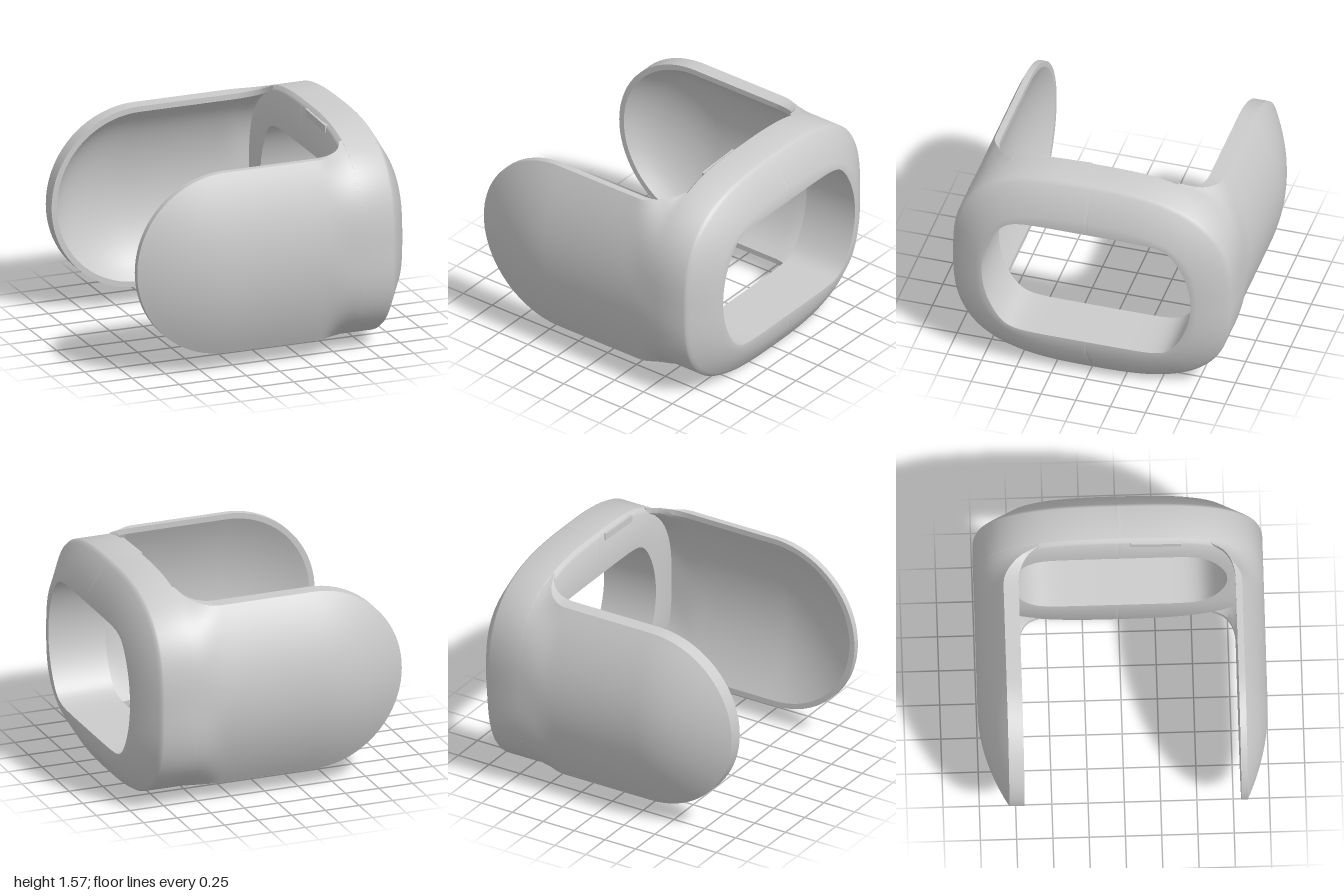
import * as THREE from 'three';
import { toCreasedNormals } from 'three/addons/utils/BufferGeometryUtils.js';

const CY = 0.785;   // mid height
const EXP = 2.9;    // squareness of the frame outline

const lerp = THREE.MathUtils.lerp;

// Surface from a grid of points: point(i, j) for i = 0..nu, j = 0..nv
function gridMesh(name, nu, nv, point, flip) {
  const pos = [], index = [];
  for (let i = 0; i <= nu; i++)
    for (let j = 0; j <= nv; j++) pos.push(...point(i, j));
  for (let i = 0; i < nu; i++)
    for (let j = 0; j < nv; j++) {
      const a = i * (nv + 1) + j, b = a + nv + 1, c = b + 1, d = a + 1;
      if (flip) index.push(a, c, b, a, d, c);
      else index.push(a, b, c, a, c, d);
    }
  const g = new THREE.BufferGeometry();
  g.setAttribute('position', new THREE.Float32BufferAttribute(pos, 3));
  g.setIndex(index);
  const mat = new THREE.MeshStandardMaterial({ color: 0xcccccc, side: THREE.DoubleSide });
  const mesh = new THREE.Mesh(toCreasedNormals(g, 0.7), mat);
  mesh.name = name;
  return mesh;
}

// Radius of a superellipse in direction t
function superRadius(t, a, b, n) {
  return (Math.abs(Math.cos(t) / a) ** n + Math.abs(Math.sin(t) / b) ** n) ** (-1 / n);
}

// Window: bulging sides cut off flat at top and bottom
function holeRadius(t) {
  const side = superRadius(t, 0.75, 0.69, 2);
  const flat = Math.abs(Math.sin(t)) / 0.4645;
  return (side ** -16 + flat ** 16) ** (-1 / 16);
}

const outer = t => superRadius(t, 1, CY, EXP);
const inset = t => superRadius(t, 0.79, 0.565, EXP);

// Frame rings, from the back edge of the window round to the front and back in
const chamfer = (x, k) => [x, t => lerp(outer(t), inset(t), k)];
const RINGS = [
  [0.58, holeRadius],
  [0.58, t => outer(t) * 0.957],
  [0.59, t => outer(t) * 0.975],
  [0.61, outer],
  chamfer(0.845, 0), chamfer(0.86, 0.04), chamfer(0.875, 0.13), chamfer(1, 1),
  [1, holeRadius],
  [0.58, holeRadius],
];

function frameHalf(name, start) {
  const n = 80;
  return gridMesh(name, n, RINGS.length - 1, (i, j) => {
    const t = start + Math.PI * i / n;
    const [x, radius] = RINGS[j];
    const r = radius(t);
    return [x, CY + r * Math.sin(t), r * Math.cos(t)];
  }, true);
}

// Domed shell with a round tip, its root flaring into the frame
function arm(name, side, { drop, rim, rootRim, flare }) {
  const R = 0.655, XT = -0.345, XR = 0.615, T = 0.045, LIP = 0.04;
  const nx = 24, na = 40, nk = 14;
  return gridMesh(name, 2 * nx + na, 2 * nk + 1, (i, j) => {
    // Place along the outline: top edge, tip, bottom edge
    let x = XT, angle = Math.PI / 2;
    if (i < nx) x = lerp(XR, XT, (i / nx) ** 1.5);
    else if (i <= nx + na) angle += Math.PI * (i - nx) / na;
    else {
      angle = 1.5 * Math.PI;
      x = lerp(XR, XT, ((2 * nx + na - i) / nx) ** 1.5);
    }
    // Fillet towards the frame
    const s = THREE.MathUtils.clamp((x - 0.35) / 0.23, 0, 1);
    const f = 1 - Math.sqrt(1 - s * s);
    const h = R + flare * f;
    const rimZ = lerp(rim, rootRim, f);
    const blend = s * s * (3 - 2 * s);
    const skin = k => lerp(1 - drop * k * k,
      (1 - (h * k / CY) ** EXP) ** (1 / EXP), blend);
    // Across the shell: outer dome, rim, inner dome
    let r, z;
    if (j <= nk) {
      const k = j / nk;
      r = h * k;
      z = skin(k);
    } else {
      const k = (2 * nk + 1 - j) / nk;
      r = (h - LIP) * k;
      z = skin(k) - T - (skin(1) - T - rimZ) * k ** 8;
    }
    // Side wall down to the rim
    if (j === nk) z = Math.max(skin(1), rimZ);
    return [x + r * Math.cos(angle), CY + r * Math.sin(angle), side * z];
  }, side > 0);
}

// Flat wall joining the dome edge to the rim
function armEdge(name, side, { drop, rim, rootRim, flare }) {
  const R = 0.655, XT = -0.345, XR = 0.615, nx = 24, na = 40;
  return gridMesh(name, 2 * nx + na, 2, (i, j) => {
    let x = XT, angle = Math.PI / 2;
    if (i < nx) x = lerp(XR, XT, (i / nx) ** 1.5);
    else if (i <= nx + na) angle += Math.PI * (i - nx) / na;
    else {
      angle = 1.5 * Math.PI;
      x = lerp(XR, XT, ((2 * nx + na - i) / nx) ** 1.5);
    }
    const s = THREE.MathUtils.clamp((x - 0.35) / 0.23, 0, 1);
    const f = 1 - Math.sqrt(1 - s * s);
    const h = R + flare * f;
    const rimZ = lerp(rim, rootRim, f);
    const edge = lerp(1 - drop, (1 - (h / CY) ** EXP) ** (1 / EXP), s * s * (3 - 2 * s));
    const r = j === 2 ? h - 0.04 : h;
    const z = j === 0 ? Math.max(edge, rimZ) : rimZ;
    return [x + r * Math.cos(angle), CY + r * Math.sin(angle), side * z];
  }, side > 0);
}

export function createModel() {
  const model = new THREE.Group();
  model.name = 'cuff';

  // Frame in two halves meeting at the centre seam
  model.add(frameHalf('frontFrameHalf', -Math.PI / 2));
  model.add(frameHalf('backFrameHalf', Math.PI / 2));

  // Side arms; the back one is deeper
  const front = { drop: 0.155, rim: 0.8, rootRim: 0.64, flare: 0.045 };
  const back = { drop: 0.2, rim: 0.695, rootRim: 0.545, flare: 0.08 };
  for (const [name, side, shape] of [['front', 1, front], ['back', -1, back]]) {
    const group = new THREE.Group();
    group.name = name + 'Arm';
    group.add(arm(name + 'ArmShell', side, shape));
    group.add(armEdge(name + 'ArmRim', side, shape));
    model.add(group);
  }

  // Small catch on the back edge of the frame
  const tab = new THREE.Mesh(
    new THREE.BoxGeometry(0.04, 0.05, 0.35),
    new THREE.MeshStandardMaterial({ color: 0xcccccc }));
  tab.name = 'catchTab';
  tab.position.set(0.592, 1.515, 0.255);
  tab.rotation.x = 0.04;
  model.add(tab);

  return model;
}
